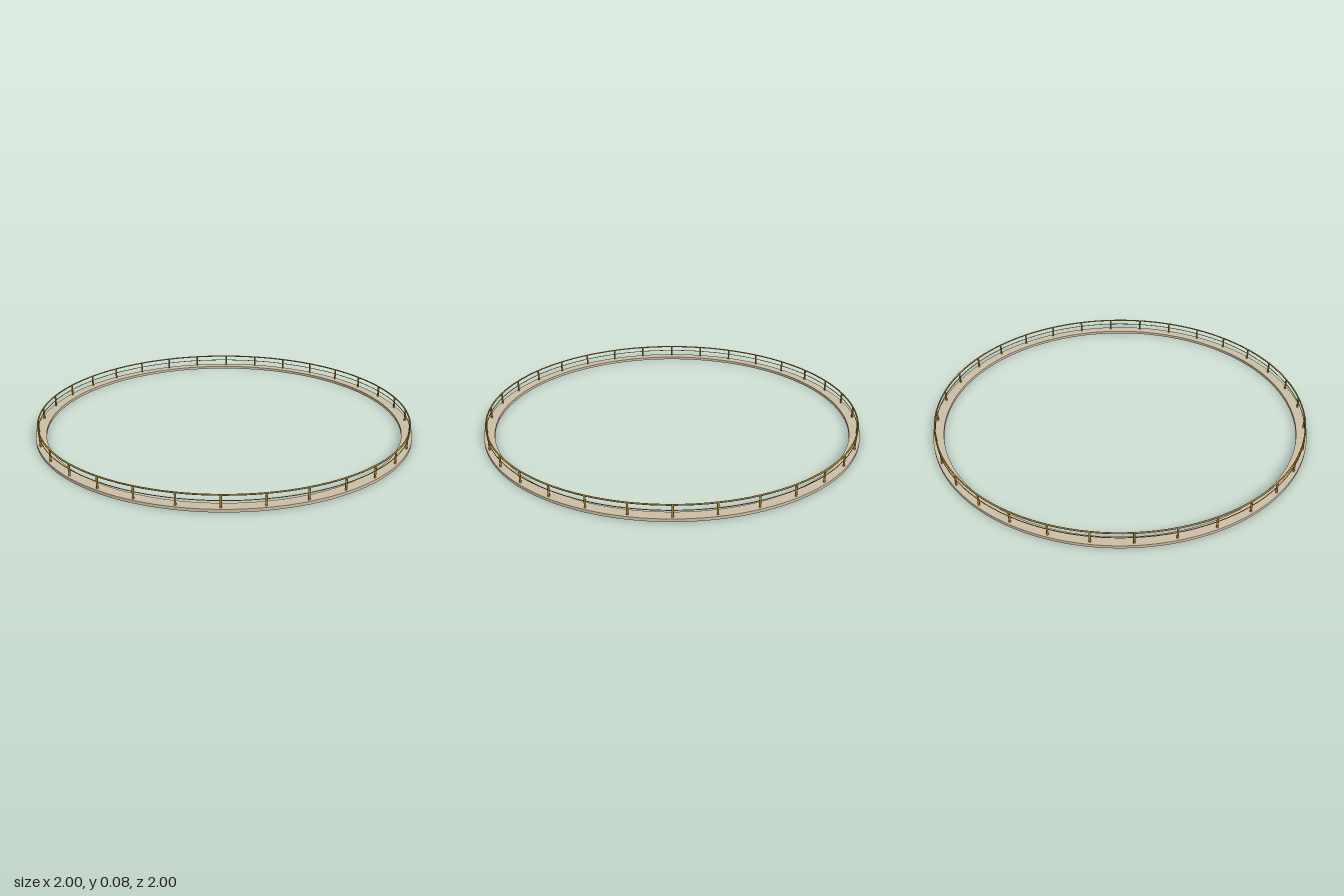
import * as THREE from 'three';

const DECK_INNER = 0.945, DECK_OUTER = 1, DECK_TOP = 0.015;
const RAIL_RADIUS = 0.985, RAIL_Y = 0.075, MID_Y = 0.048, POSTS = 32;

export function createModel() {
  const model = new THREE.Group();
  model.name = 'ringBalcony';
  const stone = new THREE.MeshStandardMaterial({ color: 0xcdbfa6 });
  const brass = new THREE.MeshStandardMaterial({ color: 0xb08a35 });

  const add = (name, geometry, material, parent = model) => {
    const mesh = new THREE.Mesh(geometry, material);
    mesh.name = name;
    parent.add(mesh);
    return mesh;
  };

  // Flat annular walkway with crisp edges
  const ring = new THREE.Shape().absarc(0, 0, DECK_OUTER, 0, Math.PI * 2, false);
  ring.holes.push(new THREE.Path().absarc(0, 0, DECK_INNER, 0, Math.PI * 2, true));
  const deck = new THREE.ExtrudeGeometry(ring, { depth: DECK_TOP, bevelEnabled: false, curveSegments: 128 });
  deck.rotateX(-Math.PI / 2);
  add('walkway', deck, stone);

  // Handrail and thinner middle rail
  const rail = (name, y, thickness) => {
    const geometry = new THREE.TorusGeometry(RAIL_RADIUS, thickness, 8, 128);
    geometry.rotateX(Math.PI / 2);
    add(name, geometry, brass).position.y = y;
  };
  rail('handrail', RAIL_Y, 0.004);
  rail('middleRail', MID_Y, 0.002);

  // Evenly spaced posts
  const posts = new THREE.Group();
  posts.name = 'posts';
  model.add(posts);
  const height = RAIL_Y - DECK_TOP;
  const postGeometry = new THREE.CylinderGeometry(0.005, 0.005, height, 8);
  for (let i = 0; i < POSTS; i++) {
    const a = (i / POSTS) * Math.PI * 2;
    const post = add('post', postGeometry, brass, posts);
    post.position.set(Math.sin(a) * RAIL_RADIUS, DECK_TOP + height / 2, Math.cos(a) * RAIL_RADIUS);
    post.rotation.y = a;
  }
  return model;
}
